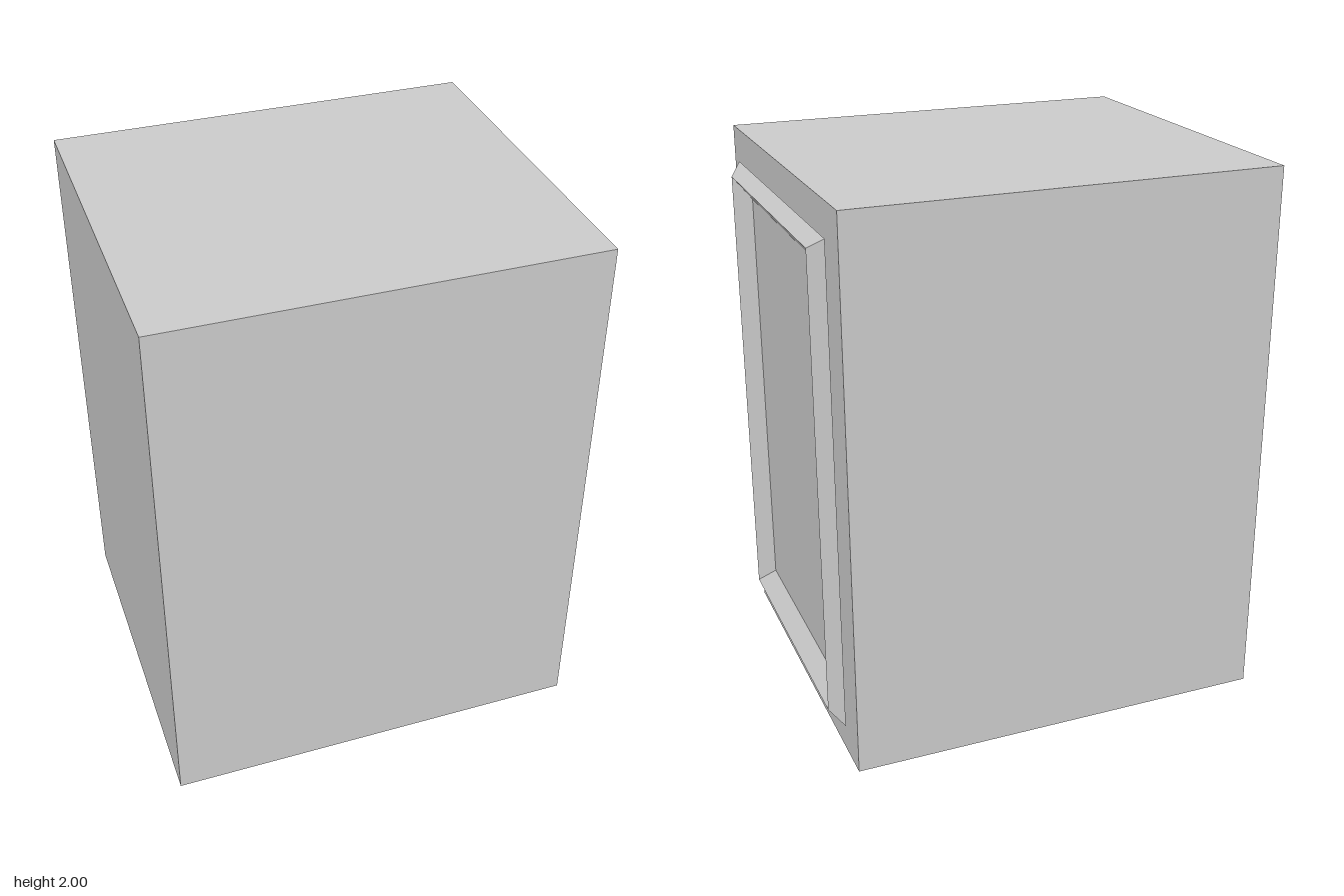
import * as THREE from 'three';

const material = new THREE.MeshStandardMaterial({ color: 0xcccccc, flatShading: true });
const sheet = new THREE.MeshStandardMaterial({ color: 0xcccccc, flatShading: true, side: THREE.DoubleSide });

// Corners of a rectangle in the plane x, counter-clockwise seen from +x
function rectLoop({ x, halfZ, halfY }) {
  const y = 1.003, z = 0.002;
  return [[1, -1], [-1, -1], [-1, 1], [1, 1]].map(([sz, sy]) => [x, y + sy * halfY, z + sz * halfZ]);
}

// Mitred moulding: flat strips between successive rectangles
function mouldingGeometry(sections) {
  const loops = sections.map(rectLoop);
  const points = [];
  for (let s = 0; s < loops.length - 1; s++) {
    for (let i = 0; i < 4; i++) {
      const j = (i + 1) % 4;
      const [a, b, c, d] = [loops[s][i], loops[s][j], loops[s + 1][j], loops[s + 1][i]];
      points.push(...a, ...b, ...c, ...a, ...c, ...d);
    }
  }
  const geometry = new THREE.BufferGeometry();
  geometry.setAttribute('position', new THREE.Float32BufferAttribute(points, 3));
  geometry.computeVertexNormals();
  return geometry;
}

export function createModel() {
  const group = new THREE.Group();
  group.name = 'cabinet';

  // Plain cabinet body
  const body = new THREE.Mesh(new THREE.BoxGeometry(1.545, 2, 1.342), material);
  body.name = 'body';
  body.position.set(-0.0275, 1, 0);
  group.add(body);

  // Raised door moulding: outer bevel, ridge, inner bevel running into the body
  const moulding = new THREE.Mesh(mouldingGeometry([
    { x: 0.755, halfZ: 0.563, halfY: 0.883 },
    { x: 0.8, halfZ: 0.503, halfY: 0.842 },
    { x: 0.735, halfZ: 0.413, halfY: 0.758 },
  ]), sheet);
  moulding.name = 'doorMoulding';
  group.add(moulding);

  return group;
}
